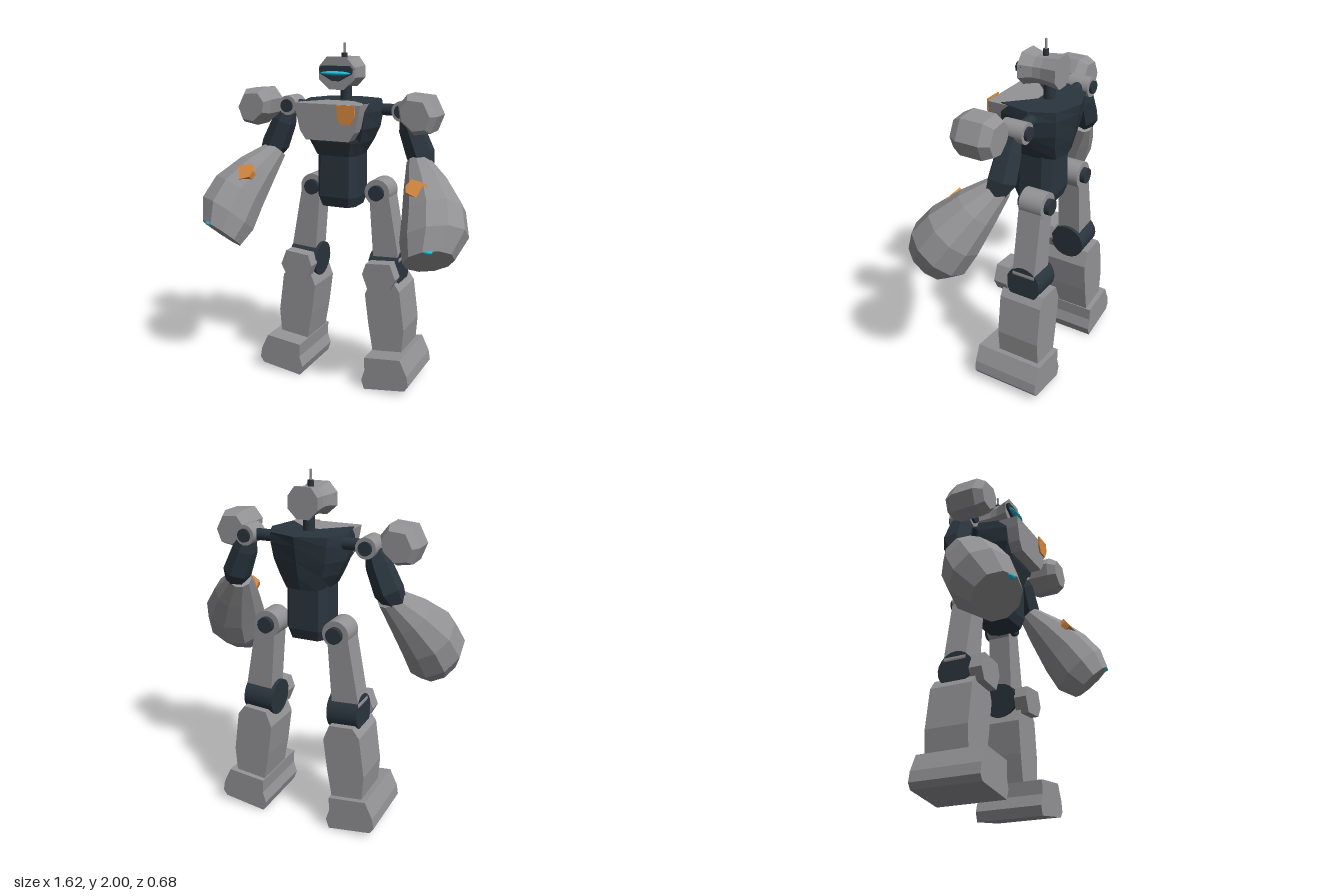
import * as THREE from 'three';

const mat = (name, color) => {
  const m = new THREE.MeshStandardMaterial({ color });
  m.name = name;
  return m;
};
const V = (x, y, z) => new THREE.Vector3(x, y, z);

// Closed faceted solid through equal-length rings, with fan caps
function loft(rings) {
  const tris = [];
  const n = rings[0].length;
  for (let i = 0; i < rings.length - 1; i++) {
    for (let j = 0; j < n; j++) {
      const k = (j + 1) % n;
      const a = rings[i][j], b = rings[i][k], c = rings[i + 1][k], d = rings[i + 1][j];
      tris.push([a, b, c], [a, c, d]);
    }
  }
  const cap = (ring, flip) => {
    const mid = ring.reduce((s, p) => s.add(p), V(0, 0, 0)).divideScalar(n);
    ring.forEach((p, j) => {
      const q = ring[(j + 1) % n];
      tris.push(flip ? [mid, q, p] : [mid, p, q]);
    });
  };
  cap(rings[0], true);
  cap(rings[rings.length - 1], false);
  // A negative volume means the faces point inwards
  const volume = tris.reduce((s, [a, b, c]) => s + a.dot(b.clone().cross(c)), 0);
  const pts = tris.flatMap(([a, b, c]) => (volume < 0 ? [a, c, b] : [a, b, c]));
  const geo = new THREE.BufferGeometry().setFromPoints(pts);
  geo.computeVertexNormals();
  return geo;
}

// Regular ring of n points around a direction
function ring(c, dir, r, n) {
  const d = dir.clone().normalize();
  const u = V(1, 0, 0).addScaledVector(d, -d.x).normalize();
  const v = d.clone().cross(u);
  return Array.from({ length: n }, (_, i) => {
    const a = ((i + 0.5) / n) * Math.PI * 2;
    return c.clone().addScaledVector(u, r * Math.cos(a)).addScaledVector(v, r * Math.sin(a));
  });
}

// Front outline pushed from z0 to z1
function slab(points, z0, z1) {
  const shape = new THREE.Shape(points.map(([x, y]) => new THREE.Vector2(x, y)));
  return new THREE.ExtrudeGeometry(shape, { depth: z1 - z0, bevelEnabled: false }).translate(0, 0, z0);
}

function rodZ(x, y, z0, z1, r) {
  return new THREE.CylinderGeometry(r, r, z1 - z0, 24).rotateX(Math.PI / 2).translate(x, y, (z0 + z1) / 2);
}

// Copy reflected to -x, with the corner order restored
function mirrored(geo) {
  const g = geo.index ? geo.toNonIndexed() : geo.clone();
  for (const key of ['position', 'normal']) {
    const a = g.attributes[key];
    for (let i = 0; i < a.count; i += 3) {
      const p = [0, 2, 1].map((k) => [-a.getX(i + k), a.getY(i + k), a.getZ(i + k)]);
      p.forEach((q, k) => a.setXYZ(i + k, ...q));
    }
  }
  return g;
}

export function createModel() {
  const grey = mat('armourGrey', 0x939396);
  const dark = mat('frameDark', 0x2a353e);
  const orange = mat('accentOrange', 0xd98a40);
  const cyan = mat('glowCyan', 0x22bcd6);
  const model = new THREE.Group();
  model.name = 'robot';
  const add = (name, geo, material) => {
    const mesh = new THREE.Mesh(geo, material);
    mesh.name = name;
    model.add(mesh);
  };
  const pair = (name, geo, material) => {
    add(name + 'Left', geo, material);
    add(name + 'Right', mirrored(geo), material);
  };

  // Head: octagon shell pinched in the middle
  const headRing = (z, hx, hy) =>
    [[1, 0.4], [0.55, 1], [-0.55, 1], [-1, 0.4], [-1, -0.4], [-0.42, -1], [0.42, -1], [1, -0.4]]
      .map(([x, y]) => V(x * hx, 1.837 + y * hy, z));
  add('head', loft([headRing(0, 0.105, 0.09), headRing(-0.075, 0.08, 0.072),
    headRing(-0.12, 0.076, 0.074), headRing(-0.21, 0.086, 0.085)]), grey);
  add('visor', slab([[-0.1, 1.86], [-0.085, 1.878], [0.085, 1.878], [0.1, 1.86], [0.095, 1.835],
    [0.02, 1.795], [-0.02, 1.795], [-0.095, 1.835]], -0.02, 0.015), dark);
  add('eyeStrip', new THREE.SphereGeometry(1, 20, 8).scale(0.093, 0.012, 0.026).translate(0, 1.838, 0.013), cyan);
  add('antennaBase', new THREE.CylinderGeometry(0.016, 0.016, 0.04, 12).translate(0, 1.925, -0.11), dark);
  add('antenna', new THREE.CylinderGeometry(0.007, 0.007, 0.08, 10).translate(0, 1.96, -0.11), grey);
  add('neck', new THREE.CylinderGeometry(0.032, 0.032, 0.14, 16).translate(0, 1.71, -0.135), dark);

  // Torso frame: pointed back, notched where the chest plate sits
  const torsoRing = (y, half) => {
    const side = half.map(([x, z]) => V(x, y, z));
    const other = half.slice(1).reverse().map(([x, z]) => V(-x, y, z));
    return [...side, ...other];
  };
  add('torso', loft([
    torsoRing(1.38, [[0, -0.25], [0.09, -0.23], [0.125, -0.13], [0.12, 0], [0.09, 0.03]]),
    torsoRing(1.46, [[0, -0.275], [0.125, -0.24], [0.175, -0.13], [0.155, 0.02], [0.11, 0.055]]),
    torsoRing(1.54, [[0, -0.29], [0.15, -0.255], [0.215, -0.13], [0.18, 0.05], [0.11, 0.07]]),
    torsoRing(1.63, [[0, -0.31], [0.163, -0.265], [0.232, -0.13], [0.19, 0.05], [0.1, -0.04]]),
    torsoRing(1.684, [[0, -0.32], [0.165, -0.265], [0.225, -0.13], [0.185, 0.05], [0.1, -0.09]]),
  ]), dark);
  add('chestPlate', slab([[-0.197, 1.68], [-0.187, 1.62], [-0.165, 1.53], [-0.13, 1.48],
    [0.13, 1.48], [0.165, 1.53], [0.187, 1.62], [0.197, 1.68]], -0.09, 0.125), grey);
  add('chestBadge', slab([[0.067, 1.68], [0.07, 1.62], [0.088, 1.577], [0.15, 1.575],
    [0.175, 1.62], [0.17, 1.68]], 0.137, 0.146), orange);

  // Waist column with chamfered corners
  const waistRing = (y, s) =>
    [[0.125, 0.07], [0.09, 0.12], [-0.09, 0.12], [-0.125, 0.07],
      [-0.125, -0.07], [-0.09, -0.12], [0.09, -0.12], [0.125, -0.07]]
      .map(([x, z]) => V(x * s, y, z * s - 0.09));
  add('waist', loft([waistRing(1.08, 0.85), waistRing(1.14, 1), waistRing(1.4, 0.97)]), dark);

  // Shoulders
  pair('shoulderAxle', new THREE.CylinderGeometry(0.033, 0.033, 0.14, 16)
    .rotateZ(Math.PI / 2).translate(0.25, 1.635, -0.145), dark);
  pair('shoulderHinge', rodZ(0.355, 1.635, -0.21, -0.08, 0.057), grey);
  pair('shoulderPin', rodZ(0.355, 1.635, -0.225, -0.065, 0.037), dark);
  const padOutline = [[0.605, 1.635], [0.553, 1.735], [0.435, 1.745], [0.385, 1.68],
    [0.398, 1.6], [0.48, 1.53], [0.57, 1.545]];
  const padRing = (z, s) => padOutline.map(([x, y]) => V(0.493 + (x - 0.493) * s, 1.637 + (y - 1.637) * s, z));
  pair('shoulderPad', loft([padRing(-0.135, 0.76), padRing(-0.08, 1), padRing(0.05, 1), padRing(0.1, 0.75)]), grey);

  // Arms: slim dark upper arm, heavy swelling forearm
  const armDir = V(0.1, -0.25, 0.02);
  pair('upperArm', loft([
    ring(V(0.37, 1.62, -0.14), armDir, 0.045, 6), ring(V(0.4, 1.54, -0.13), armDir, 0.072, 6),
    ring(V(0.46, 1.4, -0.125), armDir, 0.082, 6), ring(V(0.49, 1.33, -0.1), armDir, 0.06, 6),
  ]), dark);
  const foreDir = V(0.2, -0.46, 0.35);
  pair('forearm', loft([
    ring(V(0.455, 1.36, -0.11), foreDir, 0.068, 10), ring(V(0.535, 1.25, -0.02), foreDir, 0.125, 10),
    ring(V(0.61, 1.12, 0.075), foreDir, 0.172, 10), ring(V(0.642, 1.0, 0.155), foreDir, 0.185, 10),
    ring(V(0.64, 0.902, 0.233), foreDir, 0.138, 10),
  ]), grey);
  const plate = slab([[-0.07, -0.02], [-0.045, -0.062], [0.04, -0.04], [0.075, 0.02],
    [0.05, 0.06], [-0.06, 0.02]].map(([x, y]) => [x, -y]), -0.045, 0.012);
  pair('forearmPlate', plate.rotateX(-0.64).translate(0.54, 1.252, 0.142), orange);
  pair('wristLight', new THREE.SphereGeometry(1, 14, 8).scale(0.028, 0.013, 0.016).translate(0.66, 0.982, 0.322), cyan);

  // Legs
  pair('hipHinge', rodZ(0.207, 1.157, -0.248, -0.11, 0.077), grey);
  pair('hipPin', rodZ(0.207, 1.157, -0.278, -0.085, 0.045), dark);
  pair('thigh', slab([[0.28, 1.14], [0.35, 0.76], [0.34, 0.69], [0.2, 0.68], [0.19, 0.755],
    [0.163, 1.1], [0.2, 1.17]].reverse(), -0.247, -0.11), grey);
  pair('knee', new THREE.CylinderGeometry(0.105, 0.105, 0.18, 20)
    .rotateZ(Math.PI / 2 + 0.06).translate(0.262, 0.695, -0.175), dark);
  pair('kneePad', slab([[0.37, 0.68], [0.335, 0.77], [0.188, 0.757], [0.165, 0.69],
    [0.2, 0.6], [0.335, 0.612]], -0.078, 0), grey);
  pair('shin', slab([[0.34, 0.65], [0.38, 0.595], [0.412, 0.36], [0.4, 0.2], [0.22, 0.19],
    [0.19, 0.36], [0.165, 0.55], [0.2, 0.64]].reverse(), -0.305, -0.047), grey);
  pair('foot', slab([[0.435, 0.225], [0.48, 0.13], [0.49, 0.07], [0.468, 0.037], [0.215, 0],
    [0.197, 0.055], [0.217, 0.12], [0.213, 0.2]].reverse(), -0.335, 0.073), grey);

  return model;
}
